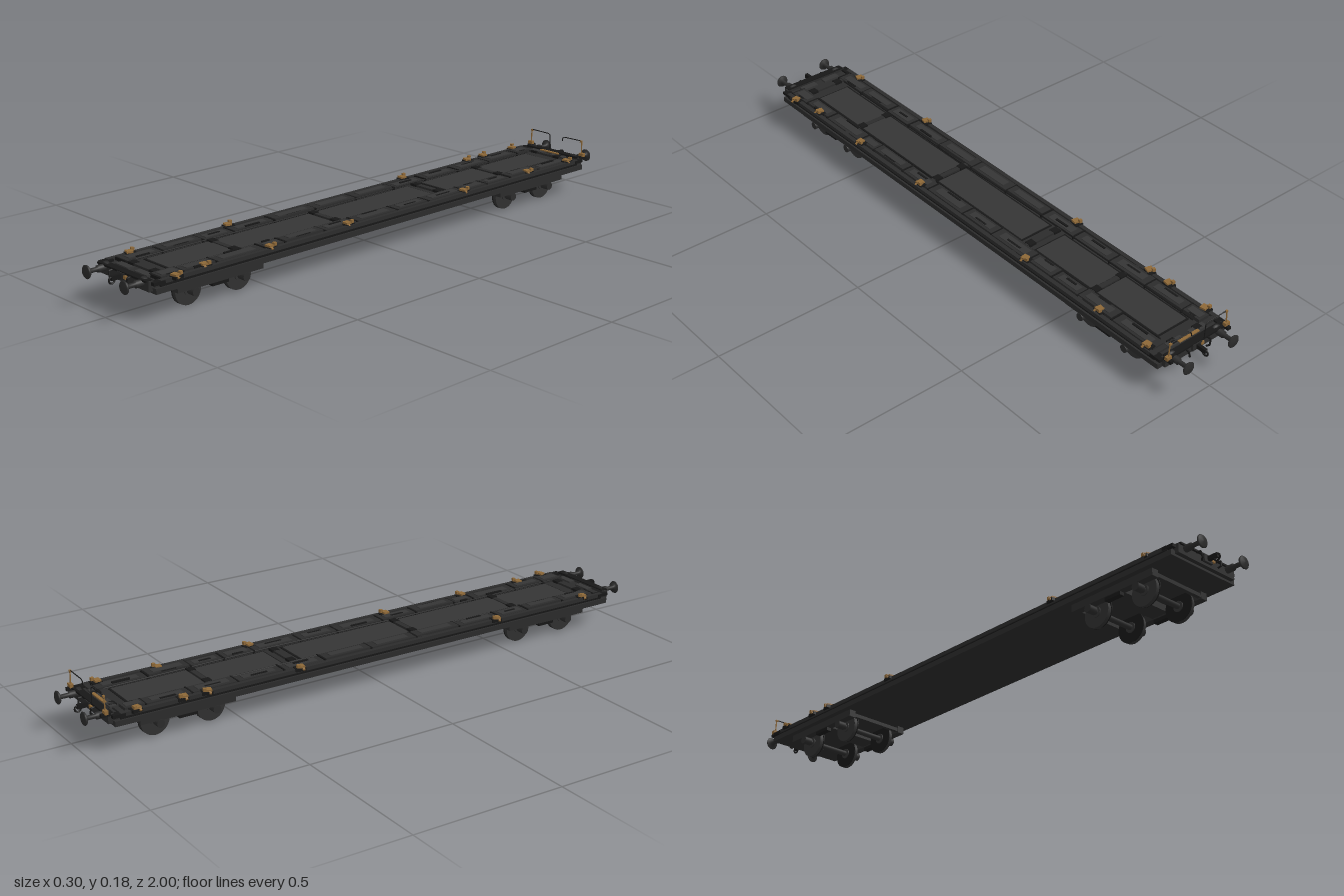
import * as THREE from 'three';

export function createModel() {
  const root = new THREE.Group();
  const mat = (name, color) => {
    const m = new THREE.MeshStandardMaterial({ color });
    m.name = name;
    return m;
  };
  const frameMat = mat('charcoal frame', 0x2b2b2b);
  const panelMat = mat('grey panel', 0x353535);
  const blackMat = mat('soot black', 0x171717);
  const wheelMat = mat('wheel steel', 0x303030);
  const brassMat = mat('rusty ochre', 0x8c6737);

  const add = (name, geo, m, x = 0, y = 0, z = 0, parent = root) => {
    const mesh = new THREE.Mesh(geo, m);
    mesh.name = name;
    mesh.position.set(x, y, z);
    parent.add(mesh);
    return mesh;
  };
  // Box given by its centre and size
  const box = (name, m, x, y, z, w, h, d, parent) =>
    add(name, new THREE.BoxGeometry(w, h, d), m, x, y, z, parent);
  const rodX = (r, len, n = 20) => new THREE.CylinderGeometry(r, r, len, n).rotateZ(Math.PI / 2);
  const tube = (name, pts, r, m, parent) => {
    const path = new THREE.CurvePath();
    const v = pts.map(p => new THREE.Vector3(...p));
    for (let i = 1; i < v.length; i++) path.add(new THREE.LineCurve3(v[i - 1], v[i]));
    return add(name, new THREE.TubeGeometry(path, 36, r, 6), m, 0, 0, 0, parent);
  };
  let seed = 7;
  const rnd = () => (seed = (seed * 16807) % 2147483647) / 2147483647;

  // Main frame: flat underside, side sills and deck
  box('mainFrame', frameMat, 0, 0.0915, 0, 0.272, 0.017, 1.84);
  box('deck', frameMat, 0, 0.106, 0, 0.25, 0.012, 1.83);
  for (const s of [-1, 1]) {
    box('sillRecess', blackMat, s * 0.127, 0.104, 0, 0.006, 0.008, 1.8);
    box('sideRail', frameMat, s * 0.126, 0.114, 0, 0.014, 0.012, 1.8);
  }

  // Recessed centre floor panels with dark borders
  const spans = [[-0.84, -0.59], [-0.565, -0.32], [-0.25, 0.155], [0.185, 0.565], [0.58, 0.81]];
  for (const [a, b] of spans) {
    box('panelBorder', blackMat, 0, 0.112, (a + b) / 2, 0.128, 0.004, b - a + 0.012);
    box('floorPanel', panelMat, 0, 0.113, (a + b) / 2, 0.114, 0.006, b - a);
  }
  // Cross members between the panels
  for (const z of [-0.89, -0.578, -0.285, 0.17, 0.573, 0.86]) {
    box('crossMember', frameMat, 0, 0.114, z, 0.24, 0.01, 0.016);
    for (const s of [-1, 1]) box('crossBracket', blackMat, s * 0.05, 0.117, z, 0.025, 0.008, 0.024);
  }

  // Uneven side plates with narrow dark gaps and fittings
  for (const s of [-1, 1]) {
    for (let z = -0.88; z < 0.86;) {
      const len = Math.min(0.07 + rnd() * 0.11, 0.89 - z);
      const h = 0.008 + rnd() * 0.006;
      const w = 0.036 + rnd() * 0.014;
      box('sidePlate', frameMat, s * 0.092, 0.11 + h / 2, z + len / 2, w, h, len - 0.006);
      box('plateTop', panelMat, s * 0.092, 0.11 + h + 0.001, z + len / 2, w * 0.6, 0.002, len * 0.7);
      box('plateGap', blackMat, s * 0.092, 0.116, z + len, 0.052, 0.012, 0.005);
      box('sideFitting', blackMat, s * (0.066 + rnd() * 0.048), 0.12, z + len * 0.5, 0.007, 0.008, len * 0.35);
      z += len;
    }
    tube('deckCable', [[s * 0.065, 0.117, -0.86], [s * 0.069, 0.119, -0.3], [s * 0.063, 0.117, 0.2],
      [s * 0.068, 0.119, 0.84]], 0.002, blackMat);
  }

  // Ochre lashing clamps along both edges
  const clamps = [[-0.126, -0.85], [-0.128, -0.7], [-0.128, -0.62], [-0.126, -0.3], [-0.126, 0.45], [-0.12, 0.82],
    [0.116, -0.86], [0.112, -0.66], [0.116, -0.34], [0.114, 0.175], [0.118, 0.49], [0.114, 0.73], [0.13, 0.845]];
  for (const [x, z] of clamps) {
    const g = new THREE.Group();
    g.name = 'lashingClamp';
    g.position.set(x, 0.12, z);
    g.rotation.y = (rnd() - 0.5) * 0.6;
    root.add(g);
    box('clampBase', blackMat, 0, -0.003, 0, 0.026, 0.01, 0.034, g);
    box('clampPlate', brassMat, 0, 0.005, 0.004, 0.022, 0.006, 0.02, g);
    box('clampLug', brassMat, Math.sign(x) * 0.008, 0.009, -0.008, 0.01, 0.01, 0.01, g);
    box('clampLever', brassMat, Math.sign(x) * 0.011, 0.001, 0.008, 0.014, 0.005, 0.007, g).rotation.z = -Math.sign(x) * 0.5;
  }

  // Bogies: side frames, axle boxes, axles and wheels
  for (const zc of [-0.675, 0.675]) {
    const bogie = new THREE.Group();
    bogie.name = 'bogie';
    bogie.position.z = zc;
    root.add(bogie);
    for (const s of [-1, 1]) {
      box('bogieSideFrame', frameMat, s * 0.105, 0.072, 0, 0.025, 0.024, 0.315, bogie);
      box('springPack', blackMat, s * 0.105, 0.055, 0, 0.018, 0.012, 0.06, bogie);
    }
    box('bogieBolster', frameMat, 0, 0.073, 0, 0.2, 0.022, 0.06, bogie);
    for (const dz of [-0.093, 0.093]) {
      add('axle', rodX(0.009, 0.2), frameMat, 0, 0.048, dz, bogie);
      for (const s of [-1, 1]) {
        add('wheelTread', rodX(0.047, 0.014, 28), wheelMat, s * 0.074, 0.047, dz, bogie);
        add('wheelFlange', rodX(0.05, 0.003, 28), blackMat, s * 0.068, 0.05, dz, bogie);
        add('wheelHub', rodX(0.017, 0.022), wheelMat, s * 0.074, 0.048, dz, bogie);
        add('axleBox', rodX(0.013, 0.028), frameMat, s * 0.105, 0.049, dz, bogie);
      }
    }
    for (const e of [-1, 1]) box('bogieEndBar', frameMat, 0, 0.07, e * 0.15, 0.2, 0.012, 0.012, bogie);
  }

  // Both ends: headstock, buffers, coupling, hoses and steps
  const bufferProfile = [[0, 0], [0.017, 0], [0.017, 0.008], [0.011, 0.01], [0.011, 0.035], [0.007, 0.036],
    [0.007, 0.066], [0.019, 0.069], [0.021, 0.073], [0.018, 0.076], [0, 0.078]].map(p => new THREE.Vector2(...p));
  for (const e of [-1, 1]) {
    const end = new THREE.Group();
    end.name = e > 0 ? 'frontEnd' : 'backEnd';
    if (e < 0) end.rotation.y = Math.PI;
    root.add(end);
    box('headstock', frameMat, 0, 0.105, 0.925, 0.24, 0.03, 0.018, end);
    box('headstockLip', blackMat, 0, 0.12, 0.928, 0.23, 0.006, 0.024, end);
    box('couplingPlate', frameMat, 0, 0.109, 0.937, 0.036, 0.022, 0.01, end);
    box('drawHook', blackMat, 0, 0.11, 0.955, 0.01, 0.014, 0.04, end);
    const link = add('couplingLink', new THREE.TorusGeometry(0.01, 0.003, 6, 14), blackMat, 0, 0.104, 0.972, end);
    link.rotation.y = Math.PI / 2;
    box('couplingTag', brassMat, 0.02, 0.11, 0.94, 0.012, 0.01, 0.008, end);
    for (const s of [-1, 1]) {
      add('buffer', new THREE.LatheGeometry(bufferProfile, 24).rotateX(Math.PI / 2), frameMat, s * 0.09, 0.111, 0.922, end);
      tube('brakeHose', [[s * 0.042, 0.118, 0.93], [s * 0.044, 0.116, 0.95], [s * 0.04, 0.098, 0.952],
        [s * 0.034, 0.092, 0.944]], 0.003, blackMat, end);
      box('endStep', blackMat, s * 0.122, 0.113, 0.905, 0.024, 0.01, 0.04, end);
      box('endPlate', panelMat, s * 0.045, 0.118, 0.895, 0.06, 0.006, 0.022, end);
    }
  }

  // Tall shunter handrails at the back, with ochre posts
  for (const s of [-1, 1]) {
    const z = -0.94;
    tube('handrailPost', [[s * 0.117, 0.115, z], [s * 0.115, 0.15, z], [s * 0.114, 0.174, z]], 0.0022, brassMat);
    tube('handrailBar', [[s * 0.115, 0.172, z], [s * 0.109, 0.177, z], [s * 0.036, 0.176, z],
      [s * 0.029, 0.171, z], [s * 0.027, s < 0 ? 0.118 : 0.16, z]], 0.0017, blackMat);
    box('handrailJoint', brassMat, s * 0.112, 0.175, z, 0.008, 0.006, 0.006);
    box('handrailFoot', brassMat, s * 0.117, 0.128, z, 0.018, 0.012, 0.012);
    box('railTie', blackMat, s * 0.115, 0.119, z, 0.012, 0.01, 0.03);
  }
  box('backWarningPlate', brassMat, 0, 0.1225, -0.905, 0.08, 0.004, 0.01);
  return root;
}
